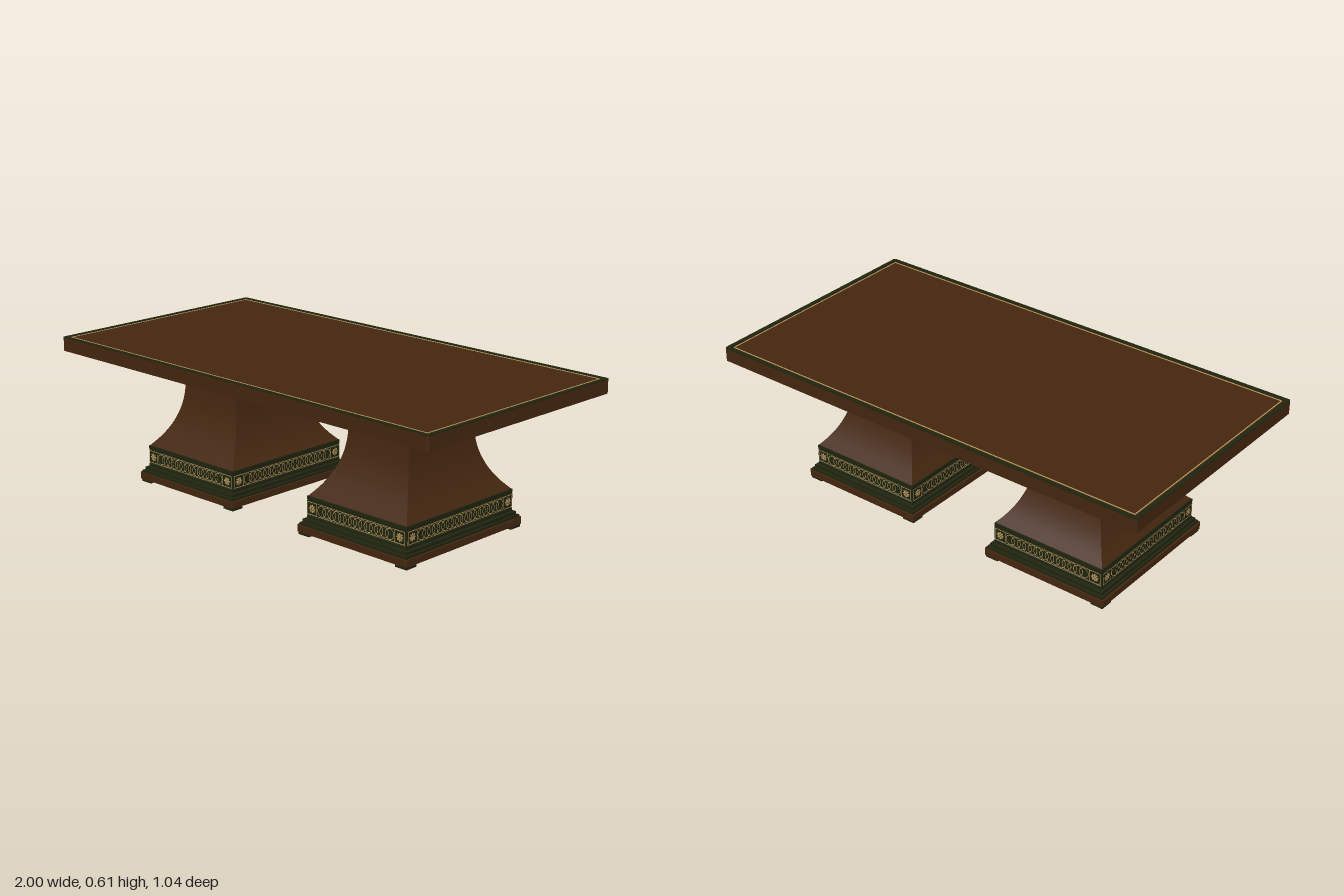
import * as THREE from 'three';
import { mergeGeometries, toCreasedNormals } from 'three/addons/utils/BufferGeometryUtils.js';

const wood = new THREE.MeshStandardMaterial({ color: 0x44260f });
wood.name = 'dark wood';
const green = new THREE.MeshStandardMaterial({ color: 0x1f240f });
green.name = 'dark green trim';
const gold = new THREE.MeshStandardMaterial({ color: 0xb8965a });
gold.name = 'gold inlay';

const RATIO = 0.83; // pedestal width (x) relative to depth (z)

function add(parent, name, geometry, material, x = 0, y = 0, z = 0) {
  const mesh = new THREE.Mesh(geometry, material);
  mesh.name = name;
  mesh.position.set(x, y, z);
  parent.add(mesh);
  return mesh;
}

// Rectangle outline with rounded corners, centred on the origin
function roundedRect(hx, hz, r, Type = THREE.Shape) {
  const s = new Type();
  s.moveTo(-hx + r, -hz);
  s.lineTo(hx - r, -hz).absarc(hx - r, -hz + r, r, -Math.PI / 2, 0);
  s.lineTo(hx, hz - r).absarc(hx - r, hz - r, r, 0, Math.PI / 2);
  s.lineTo(-hx + r, hz).absarc(-hx + r, hz - r, r, Math.PI / 2, Math.PI);
  s.lineTo(-hx, -hz + r).absarc(-hx + r, -hz + r, r, Math.PI, Math.PI * 1.5);
  return s;
}

// Horizontal slab rising from y = 0; a positive border leaves only a frame
function slab(hx, hz, r, height, border = 0) {
  const shape = roundedRect(hx, hz, r);
  if (border) shape.holes.push(roundedRect(hx - border, hz - border, r * 0.5, THREE.Path));
  const g = new THREE.ExtrudeGeometry(shape, { depth: height, bevelEnabled: false, curveSegments: 6 });
  return g.rotateX(-Math.PI / 2);
}

// Four-sided body from a profile of [half depth, height] points
function fourSided(points) {
  const g = new THREE.LatheGeometry(points.map(p => new THREE.Vector2(p.x * Math.SQRT2, p.y)), 4, Math.PI / 4);
  return toCreasedNormals(g.scale(RATIO, 1, 1), 0.5);
}

// Flat rectangle and square frame pieces for the inlay
const bar = (w, h, x, y) => new THREE.PlaneGeometry(w, h).translate(x, y, 0);
function frame(size, line, x) {
  const o = (size - line) / 2;
  return [bar(size, line, x, o), bar(size, line, x, -o), bar(line, size, x - o, 0), bar(line, size, x + o, 0)];
}

// Chain of interlaced rings between two framed rosettes
function friezeGeometry(halfWidth, count) {
  const parts = [];
  const inner = halfWidth - 0.057;
  for (const y of [-0.0252, 0.0252]) parts.push(bar(inner * 2, 0.0025, 0, y));
  const r = 0.0225;
  const step = (inner - r) * 2 / (count - 1);
  for (let i = 0; i < count; i++) {
    parts.push(new THREE.RingGeometry(r - 0.0026, r, 28).translate(-inner + r + i * step, 0, 0));
  }
  for (const side of [-1, 1]) {
    const x = side * (halfWidth - 0.029);
    parts.push(...frame(0.053, 0.003, x));
    parts.push(new THREE.CircleGeometry(0.005, 12).translate(x, 0, 0));
    for (let i = 0; i < 8; i++) {
      const petal = new THREE.CircleGeometry(0.0045, 10).scale(1.35, 0.85, 1).translate(0.0115, 0, 0);
      parts.push(petal.rotateZ(i * Math.PI / 4).translate(x, 0, 0));
    }
  }
  return mergeGeometries(parts);
}

function createPedestal() {
  const p = new THREE.Group();

  // Feet and plinth
  for (const x of [-1, 1]) for (const z of [-1, 1]) {
    add(p, 'foot', new THREE.BoxGeometry(0.055, 0.014, 0.055), green, x * 0.251, 0.007, z * 0.304);
  }
  add(p, 'plinth', slab(0.284, 0.339, 0.012, 0.027), wood, 0, 0.013, 0);

  // Stepped moulding and frieze block
  const steps = [[0.331, 0.04], [0.331, 0.049], [0.321, 0.051], [0.321, 0.063], [0.308, 0.066],
    [0.308, 0.078], [0.306, 0.08], [0.306, 0.14], [0.308, 0.142], [0.308, 0.155], [0.297, 0.158]];
  add(p, 'baseMoulding', fourSided(steps.map(([x, y]) => new THREE.Vector2(x, y))), green);

  // Flared column
  const curve = new THREE.SplineCurve([[0.304, 0.156], [0.264, 0.2], [0.231, 0.25], [0.205, 0.31],
    [0.191, 0.37], [0.186, 0.43], [0.191, 0.49], [0.208, 0.552]].map(([x, y]) => new THREE.Vector2(x, y)));
  add(p, 'column', fourSided(curve.getPoints(28)), wood);

  // Inlaid frieze on all four sides
  const hz = 0.306, hx = hz * RATIO;
  const sides = [[hx, hz, 14], [hz, hx, 18], [hx, hz, 14], [hz, hx, 18]];
  sides.forEach(([half, distance, count], i) => {
    const frieze = new THREE.Group();
    frieze.name = 'frieze';
    frieze.rotation.y = i * Math.PI / 2;
    add(frieze, 'friezePanel', new THREE.BoxGeometry(half * 2, 0.054, 0.004), green, 0, 0.11, distance + 0.001);
    add(frieze, 'friezeInlay', friezeGeometry(half, count), gold, 0, 0.11, distance + 0.0045);
    p.add(frieze);
  });
  return p;
}

export function createModel() {
  const table = new THREE.Group();
  table.name = 'diningTable';

  // Tabletop with dark rim and a fine inlaid line
  add(table, 'tabletop', slab(1, 0.519, 0.008, 0.056), wood, 0, 0.552, 0);
  add(table, 'tabletopRim', slab(1, 0.519, 0.008, 0.003, 0.018), green, 0, 0.608, 0);
  add(table, 'tabletopInlay', slab(0.976, 0.495, 0.004, 0.002, 0.004), gold, 0, 0.608, 0);

  // Pair of pedestals
  for (const side of [-1, 1]) {
    const pedestal = createPedestal();
    pedestal.name = side > 0 ? 'leftPedestal' : 'rightPedestal';
    pedestal.position.x = side * 0.465;
    table.add(pedestal);
  }
  return table;
}
